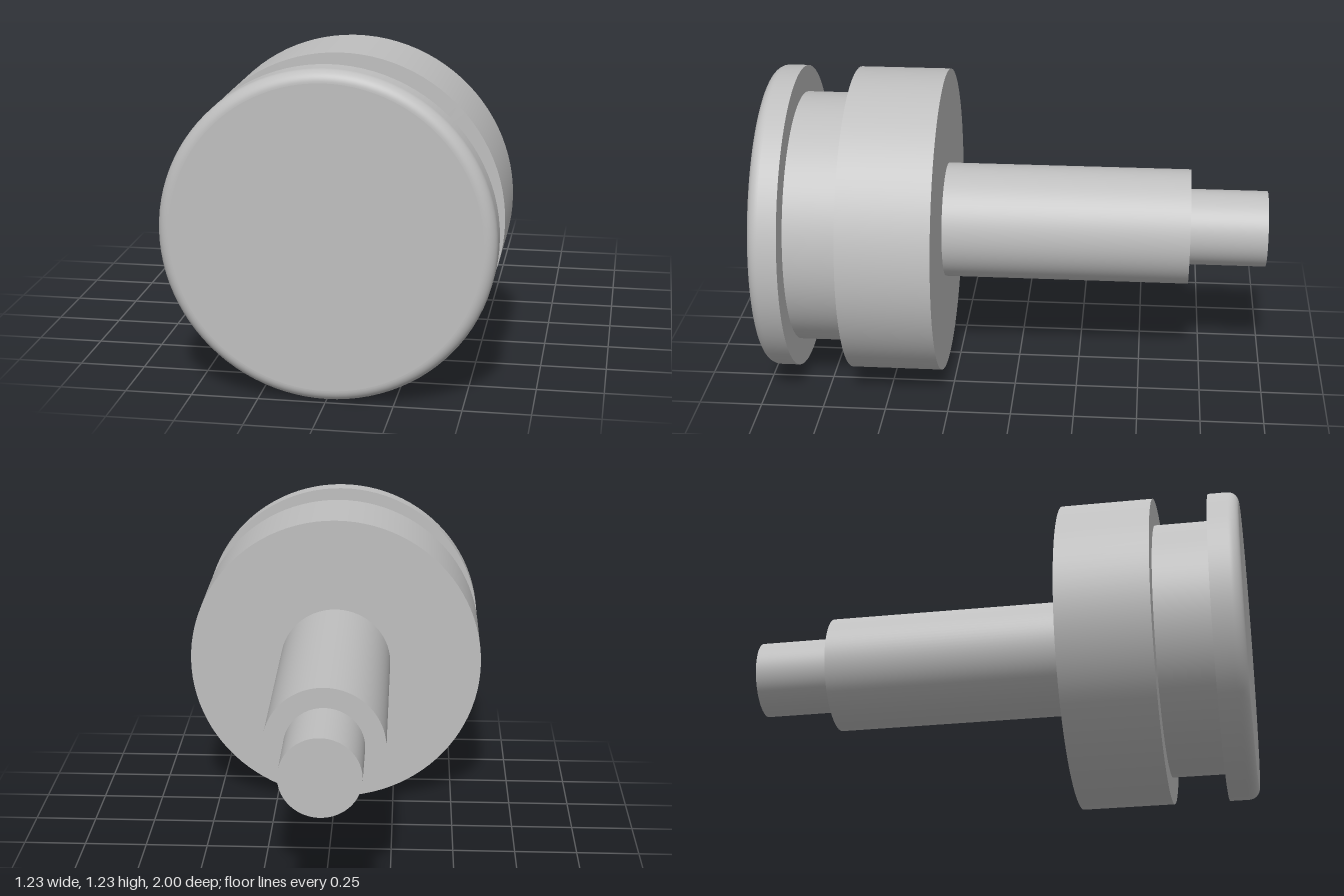
import * as THREE from 'three';
import { mergeGeometries } from 'three/addons/utils/BufferGeometryUtils.js';

const SEGMENTS = 96;
const R = 0.615; // largest radius, also the height of the axis

// Revolves each run of [radius, z] points on its own, so edges between runs stay sharp
function turned(name, runs, material) {
  const pieces = runs.map((run) =>
    new THREE.LatheGeometry(run.map(([r, z]) => new THREE.Vector2(r, z)), SEGMENTS));
  const geometry = mergeGeometries(pieces);
  geometry.rotateX(Math.PI / 2); // turning axis along z
  const mesh = new THREE.Mesh(geometry, material);
  mesh.name = name;
  mesh.position.y = R;
  return mesh;
}

export function createModel() {
  const metal = new THREE.MeshStandardMaterial({ color: 0xbfbfbf });
  metal.name = 'grey metal';

  const tipR = 0.153, rodR = 0.232, grooveR = 0.508, fillet = 0.045;
  const zBack = -1, zRod = -0.69, zBody = 0.295, zGroove = 0.66, zFlange = 0.88, zFront = 1;

  // Rounded front rim
  const rim = [];
  for (let i = 0; i <= 12; i++) {
    const a = (i / 12) * Math.PI / 2;
    rim.push([R - fillet + fillet * Math.cos(a), zFront - fillet + fillet * Math.sin(a)]);
  }

  const group = new THREE.Group();
  group.name = 'piston';
  group.add(
    turned('rodTip', [
      [[0, zBack], [tipR, zBack]],
      [[tipR, zBack], [tipR, zRod]],
    ], metal),
    turned('rod', [
      [[tipR, zRod], [rodR, zRod]],
      [[rodR, zRod], [rodR, zBody]],
    ], metal),
    turned('body', [
      [[rodR, zBody], [R, zBody]],
      [[R, zBody], [R, zGroove]],
      [[R, zGroove], [grooveR, zGroove]],
    ], metal),
    turned('groove', [
      [[grooveR, zGroove], [grooveR, zFlange]],
    ], metal),
    turned('frontFlange', [
      [[grooveR, zFlange], [R, zFlange]],
      [[R, zFlange], [R, zFront - fillet]],
      rim,
      [[R - fillet, zFront], [0, zFront]],
    ], metal),
  );
  return group;
}
